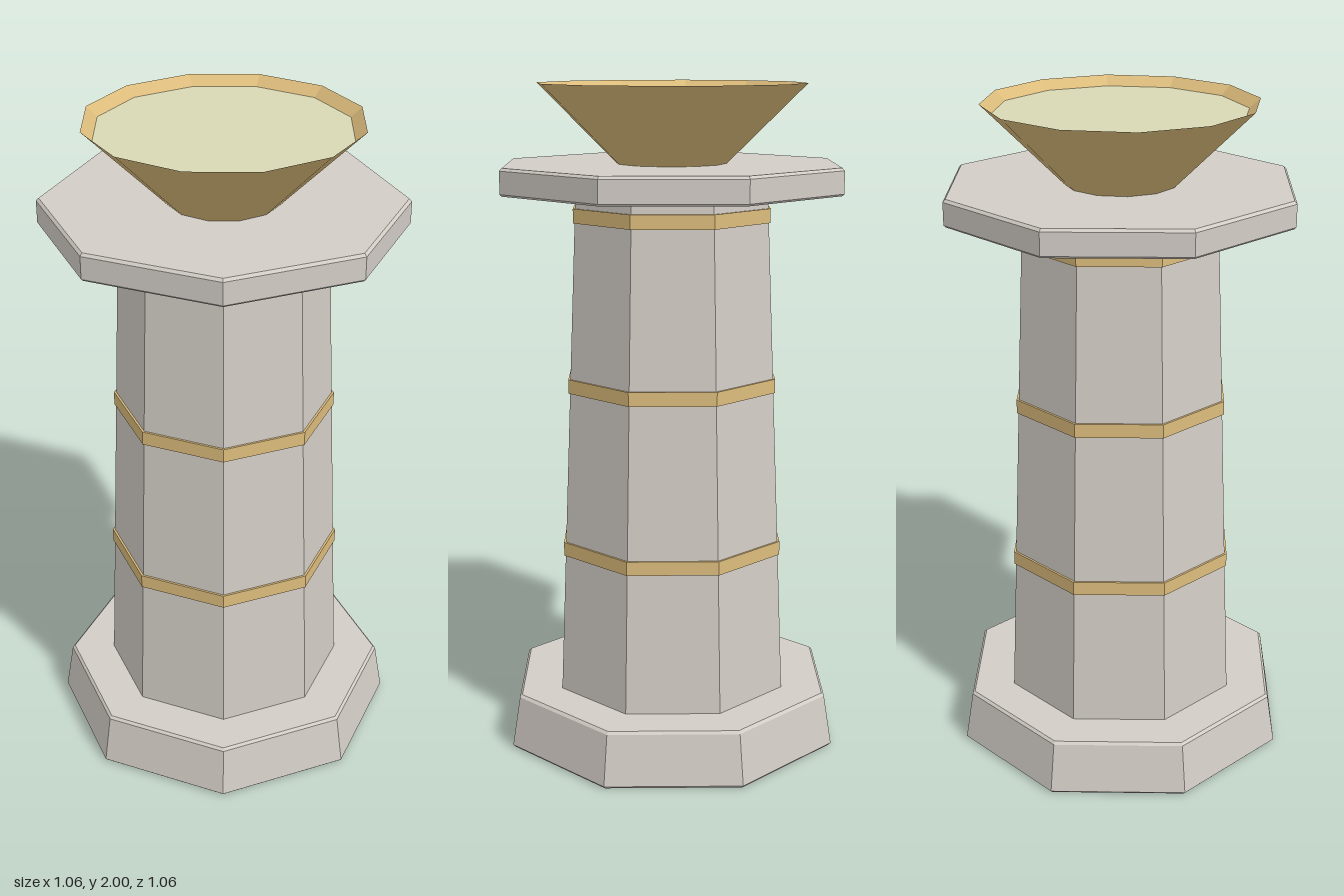
import * as THREE from 'three';

export function createModel() {
  const group = new THREE.Group();
  group.name = 'pedestalBrazier';

  const material = (name, color) => {
    const m = new THREE.MeshStandardMaterial({ color, flatShading: true });
    m.name = name;
    return m;
  };
  const stone = material('stone', 0xd3cdc6);
  const gold = material('gold', 0xdcbc7c);
  const glow = material('paleGlow', 0xd8d8b4);

  // Faceted solid of revolution; profile is [radius, height] from bottom to top
  const turned = (name, profile, sides, mat) => {
    const points = profile.map(([r, y]) => new THREE.Vector2(r, y));
    const mesh = new THREE.Mesh(new THREE.LatheGeometry(points, sides), mat);
    mesh.name = name;
    group.add(mesh);
  };

  // Octagonal plinth with small bevels
  turned('base', [[0, 0], [0.522, 0], [0.53, 0.008], [0.505, 0.16], [0.497, 0.168], [0, 0.168]], 8, stone);

  // Tapered column
  const shaftRadius = (y) => 0.367 - 0.0428 * (y - 0.168);
  turned('shaft', [[shaftRadius(0.16), 0.16], [shaftRadius(1.7), 1.7]], 8, stone);

  // Gilded bands around the column
  for (const y of [0.618, 1.12, 1.624]) {
    const r = shaftRadius(y) + 0.006;
    const h = 0.021;
    turned('band', [[r - 0.02, y - h], [r, y - h], [r, y + h], [r - 0.02, y + h]], 8, gold);
  }

  // Octagonal capital slab
  turned('capital', [[0, 1.688], [0.524, 1.688], [0.53, 1.694], [0.53, 1.76], [0.522, 1.768], [0, 1.768]], 8, stone);

  // Flared bowl with an inward sloping lip
  turned('bowl', [[0, 1.766], [0.163, 1.766], [0.4, 2], [0.368, 1.972]], 12, gold);

  // Pale surface filling the bowl
  turned('bowlFilling', [[0.37, 1.972], [0, 1.972]], 12, glow);

  return group;
}
